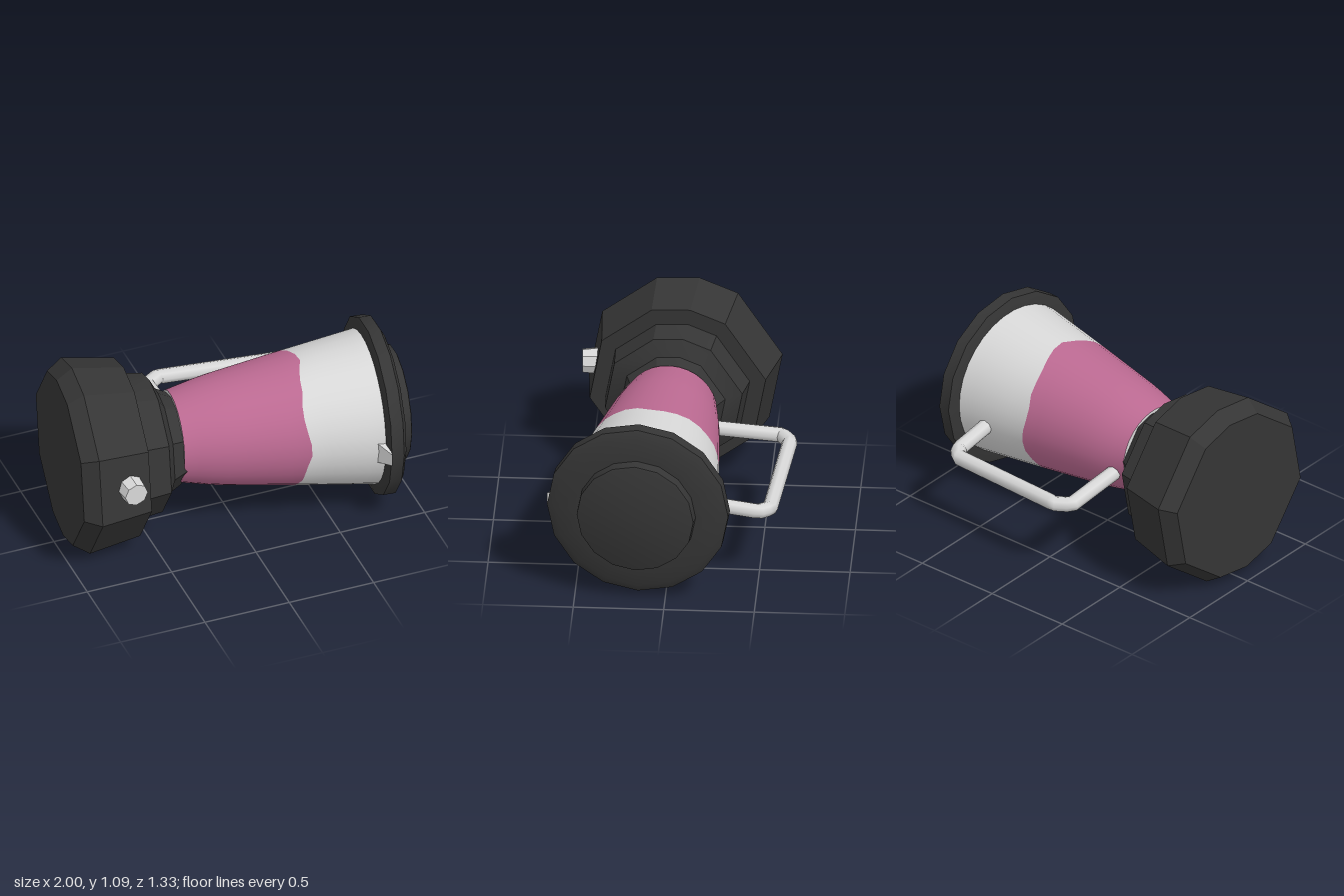
import * as THREE from 'three';
import { toCreasedNormals } from 'three/addons/utils/BufferGeometryUtils.js';
import { ConvexGeometry } from 'three/addons/geometries/ConvexGeometry.js';

const V2 = (r, t) => new THREE.Vector2(r, t);
const V3 = (x, y, z) => new THREE.Vector3(x, y, z);
const TILT = Math.atan(0.095);

function material(name, color, side = THREE.FrontSide) {
  const m = new THREE.MeshStandardMaterial({ color, side });
  m.name = name;
  return m;
}

function addMesh(parent, name, geometry, mat) {
  const mesh = new THREE.Mesh(geometry, mat);
  mesh.name = name;
  parent.add(mesh);
  return mesh;
}

// Lathe whose axis lies along +x; the profile holds [position, radius] pairs.
// An optional list of angles (degrees) gives an uneven polygon.
function turned(profile, sides, crease, angles) {
  const geo = new THREE.LatheGeometry(profile.map(([t, r]) => V2(r, t)), sides);
  if (angles) {
    const p = geo.attributes.position, n = profile.length;
    for (let i = 0; i < p.count; i++) {
      const a = THREE.MathUtils.degToRad(angles[Math.floor(i / n)]);
      const r = profile[i % n][1];
      p.setXYZ(i, r * Math.sin(a), p.getY(i), r * Math.cos(a));
    }
  }
  geo.rotateZ(-Math.PI / 2);
  return toCreasedNormals(geo, crease);
}

// Jar radius along its axis
function jarRadius(t) {
  const k = [[-0.32, 0.258], [-0.11, 0.306], [0.36, 0.376], [0.82, 0.44]];
  let i = 0;
  while (i < 2 && t > k[i + 1][0]) i++;
  return THREE.MathUtils.mapLinear(t, k[i][0], k[i + 1][0], k[i][1], k[i + 1][1]);
}

// Jar wall between two edges, each a function of the angle
function jarBand(from, to, rows) {
  const sides = 32;
  const pts = Array.from({ length: rows + 1 }, (_, i) => V2(0.3 + 0.14 * i / rows, i / rows));
  const geo = new THREE.LatheGeometry(pts, sides);
  const p = geo.attributes.position;
  for (let i = 0; i < p.count; i++) {
    const seg = Math.floor(i / (rows + 1)), a = seg / sides * Math.PI * 2;
    const t = THREE.MathUtils.lerp(from(seg), to(seg), (i % (rows + 1)) / rows);
    const r = jarRadius(t);
    p.setXYZ(i, r * Math.sin(a), t, r * Math.cos(a));
  }
  geo.rotateZ(-Math.PI / 2);
  return toCreasedNormals(geo, 0.8);
}

// Wavy top of the drink, every 22.5 degrees round the jar
const WAVE = [0.38, 0.35, 0.33, 0.33, 0.35, 0.37, 0.34, 0.36, 0.35, 0.33, 0.35, 0.38, 0.41, 0.37, 0.35, 0.36];
function drinkEdge(seg) {
  const s = seg % 32, i = s >> 1;
  if (s % 2 === 0) return WAVE[i];
  return (WAVE[i] + WAVE[(i + 1) % 16]) / 2 + (i % 2 ? 0.006 : -0.006);
}

export function createModel() {
  const model = new THREE.Group();
  model.name = 'blender';
  const dark = material('dark plastic', 0x353535);
  const pale = material('pale glass', 0xd8d8d8, THREE.DoubleSide);
  const pink = material('pink drink', 0xbc6a92);

  // Motor base with an uneven ten-sided outline
  const base = new THREE.Group();
  base.name = 'base';
  base.position.set(0, 0.557, 0.07);
  base.rotation.y = -TILT;
  model.add(base);
  const corners = [191, 238, 262, 287, 328, 371, 419, 443, 467, 508, 551];
  addMesh(base, 'motorHousing', turned([
    [-0.96, 0], [-0.96, 0.49], [-0.87, 0.55], [-0.575, 0.5], [-0.575, 0.36],
  ], 10, 0.3, corners), dark);
  addMesh(base, 'collar', turned([
    [-0.58, 0.41], [-0.43, 0.39], [-0.385, 0.30], [-0.3, 0.255], [-0.3, 0],
  ], 10, 0.45, corners), dark);

  // Jar, drink and lid lean very slightly off the base axis
  const top = new THREE.Group();
  top.name = 'jarAndLid';
  top.position.set(0, 0.572, 0.07);
  top.rotation.set(0, -TILT, -0.02);
  model.add(top);
  addMesh(top, 'drink', jarBand(() => -0.32, drinkEdge, 8), pink);
  addMesh(top, 'jar', jarBand(drinkEdge, () => 0.82, 4), pale);
  addMesh(top, 'jarBottom', turned([[-0.318, 0], [-0.318, 0.257]], 32, 0.5), pale);
  addMesh(top, 'lid', turned([
    [0.79, 0], [0.785, 0.45], [0.8, 0.505], [0.87, 0.505], [0.895, 0.46], [0.905, 0.32], [0.905, 0],
  ], 16, 0.7), dark);
  addMesh(top, 'lidCap', turned([[0.89, 0.33], [0.965, 0.325], [0.97, 0.315], [0.97, 0]], 16, 0.6), dark);

  // Bent handle at the back
  const path = new THREE.CatmullRomCurve3([
    V3(-0.22, 0.51, -0.18), V3(-0.22, 0.475, -0.58), V3(-0.14, 0.475, -0.63),
    V3(0.6, 0.45, -0.563), V3(0.65, 0.455, -0.505), V3(0.65, 0.495, -0.24),
  ], false, 'catmullrom', 0);
  addMesh(model, 'handle', new THREE.TubeGeometry(path, 64, 0.043, 8), pale);

  // Pouring spout
  addMesh(model, 'spout', new ConvexGeometry([
    V3(0.67, 0.46, 0.5), V3(0.67, 0.62, 0.5), V3(0.77, 0.46, 0.5), V3(0.77, 0.62, 0.5),
    V3(0.745, 0.51, 0.66), V3(0.745, 0.585, 0.66),
  ]), pale);

  // Speed knob on the front of the base
  const knobGeo = new THREE.CylinderGeometry(0.068, 0.078, 0.1, 8);
  knobGeo.rotateX(Math.PI / 2);
  const knob = addMesh(model, 'knob', toCreasedNormals(knobGeo, 0.4), pale);
  knob.position.set(-0.73, 0.635, 0.5);
  knob.rotation.y = 0.06;

  return model;
}
